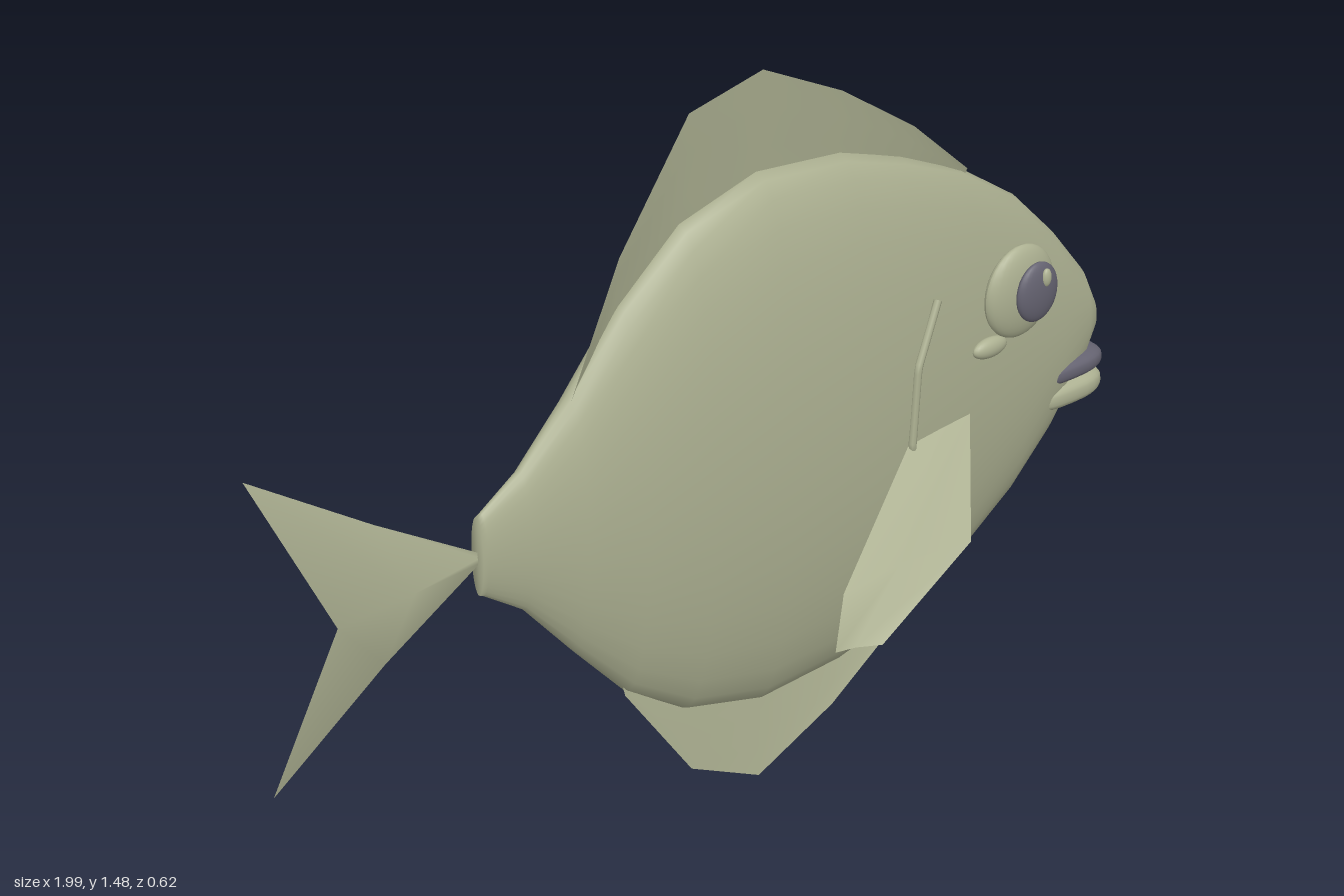
import * as THREE from 'three';

const MID = -0.018; // z of the body's centre plane

// Surface through rows of [x, y, z] points; closed joins the ends of each row
function loft(rows, closed = false) {
  const n = rows[0].length, index = [];
  for (let i = 0; i < rows.length - 1; i++) {
    for (let j = 0; j < (closed ? n : n - 1); j++) {
      const k = (j + 1) % n, a = i * n, b = a + n;
      index.push(a + j, a + k, b + j, a + k, b + k, b + j);
    }
  }
  const g = new THREE.BufferGeometry();
  g.setAttribute('position', new THREE.Float32BufferAttribute(rows.flat(2), 3));
  g.setIndex(index);
  g.computeVertexNormals();
  return g;
}

// Ellipsoid; power below 1 squares it off
function blob(rx, ry, rz, power = 1) {
  const g = new THREE.SphereGeometry(1, 28, 18), p = g.attributes.position;
  const f = v => Math.sign(v) * Math.abs(v) ** power;
  for (let i = 0; i < p.count; i++) p.setXYZ(i, f(p.getX(i)) * rx, f(p.getY(i)) * ry, f(p.getZ(i)) * rz);
  g.computeVertexNormals();
  return g;
}

export function createModel() {
  const skin = new THREE.MeshStandardMaterial({ color: 0xadb192, side: THREE.DoubleSide });
  skin.name = 'olive skin';
  const dark = new THREE.MeshStandardMaterial({ color: 0x656371 });
  dark.name = 'dark grey';

  const fish = new THREE.Group();
  fish.name = 'fish';
  const add = (name, geometry, material, x = 0, y = 0, z = 0) => {
    const m = new THREE.Mesh(geometry, material);
    m.name = name;
    m.position.set(x, y, z);
    fish.add(m);
    return m;
  };

  // Body: elliptical sections as [x, top, bottom, half width]
  const sections = [
    [-0.545, 0.731, 0.729, 0.001], [-0.545, 0.81, 0.65, 0.018], [-0.535, 0.815, 0.645, 0.02],
    [-0.45, 0.87, 0.585, 0.035], [-0.34, 0.98, 0.455, 0.06], [-0.22, 1.12, 0.32, 0.083],
    [-0.08, 1.235, 0.225, 0.102], [0.1, 1.285, 0.175, 0.114], [0.3, 1.265, 0.185, 0.114],
    [0.45, 1.215, 0.22, 0.106], [0.6, 1.15, 0.29, 0.092], [0.75, 1.05, 0.395, 0.075],
    [0.85, 0.95, 0.495, 0.062], [0.94, 0.84, 0.62, 0.043], [0.975, 0.77, 0.68, 0.025],
    [0.987, 0.731, 0.719, 0.002],
  ];
  const SIDES = 32;
  add('body', loft(sections.map(([x, top, bottom, w]) => Array.from({ length: SIDES }, (_, j) => {
    const t = j / SIDES * Math.PI * 2;
    return [x, (top + bottom) / 2 + Math.cos(t) * (top - bottom) / 2, MID + Math.sin(t) * w];
  })), true), skin);

  // Dorsal and belly fins: [x, base y, edge y], thin sheets leaning slightly to +z
  const fin = list => loft([0, 0.35, 0.7, 1].map(t => list.map(([x, base, edge]) =>
    [x, base + (edge - base) * t, -0.024 + 0.022 * t])));
  add('dorsalFin', fin([[-0.34, 0.93, 0.98], [-0.23, 1.07, 1.22], [-0.07, 1.2, 1.45], [0.1, 1.25, 1.487],
    [0.29, 1.23, 1.395], [0.47, 1.17, 1.275], [0.61, 1.1, 1.15]]), skin);
  add('bellyFin', fin([[-0.23, 0.37, 0.32], [-0.07, 0.26, 0.09], [0.1, 0.21, 0.003],
    [0.29, 0.22, 0.09], [0.45, 0.26, 0.205]]), skin);

  // Forked, gently cupped tail
  add('tailFin', loft([
    [[-0.54, 0.735, MID], [-0.54, 0.725, MID], [-0.54, 0.715, MID]],
    [[-0.75, 0.862, -0.035], [-0.7, 0.725, 0.008], [-0.75, 0.588, -0.02]],
    [[-1, 1.03, -0.045], [-0.87, 0.725, 0.018], [-1, 0.417, -0.015]],
  ]), skin);

  for (const s of [1, -1]) {
    const side = s > 0 ? 'left' : 'right';
    const z = d => MID + s * d;

    // Swept pectoral fin, creased along its middle
    add(side + 'PectoralFin', loft([
      [[0.39, 0.67, 0.09 * s], [0.09, 0.53, 0.245 * s], [0.045, 0.435, 0.275 * s]],
      [[0.47, 0.68, 0.092 * s], [0.23, 0.545, 0.248 * s], [0.085, 0.435, 0.285 * s]],
      [[0.55, 0.685, 0.09 * s], [0.39, 0.54, 0.268 * s], [0.13, 0.435, 0.31 * s]],
    ]), skin);

    // Thin gill line lying on the flank
    const gill = new THREE.CurvePath();
    const pts = [[0.465, 0.95, 0.098], [0.408, 0.83, 0.11], [0.395, 0.66, 0.113], [0.45, 0.545, 0.098]]
      .map(([x, y, d]) => new THREE.Vector3(x, y, z(d)));
    for (let i = 0; i < 3; i++) gill.add(new THREE.LineCurve3(pts[i], pts[i + 1]));
    add(side + 'GillLine', new THREE.TubeGeometry(gill, 24, 0.008, 8), skin);

    // Eye with pupil, glint and a small pouch below
    add(side + 'Eye', blob(0.088, 0.096, 0.028), skin, 0.68, 0.902, z(0.097));
    add(side + 'Pupil', blob(0.052, 0.062, 0.018), dark, 0.697, 0.906, z(0.128));
    add(side + 'EyeGlint', blob(0.011, 0.019, 0.008), skin, 0.707, 0.938, z(0.142));
    add(side + 'CheekPouch', blob(0.043, 0.021, 0.016), skin, 0.608, 0.804, z(0.096));
  }

  // Lips
  add('upperLip', blob(0.105, 0.026, 0.064, 0.72), dark, 0.886, 0.645, MID);
  add('lowerLip', blob(0.105, 0.031, 0.064, 0.72), skin, 0.886, 0.594, MID);

  return fish;
}
